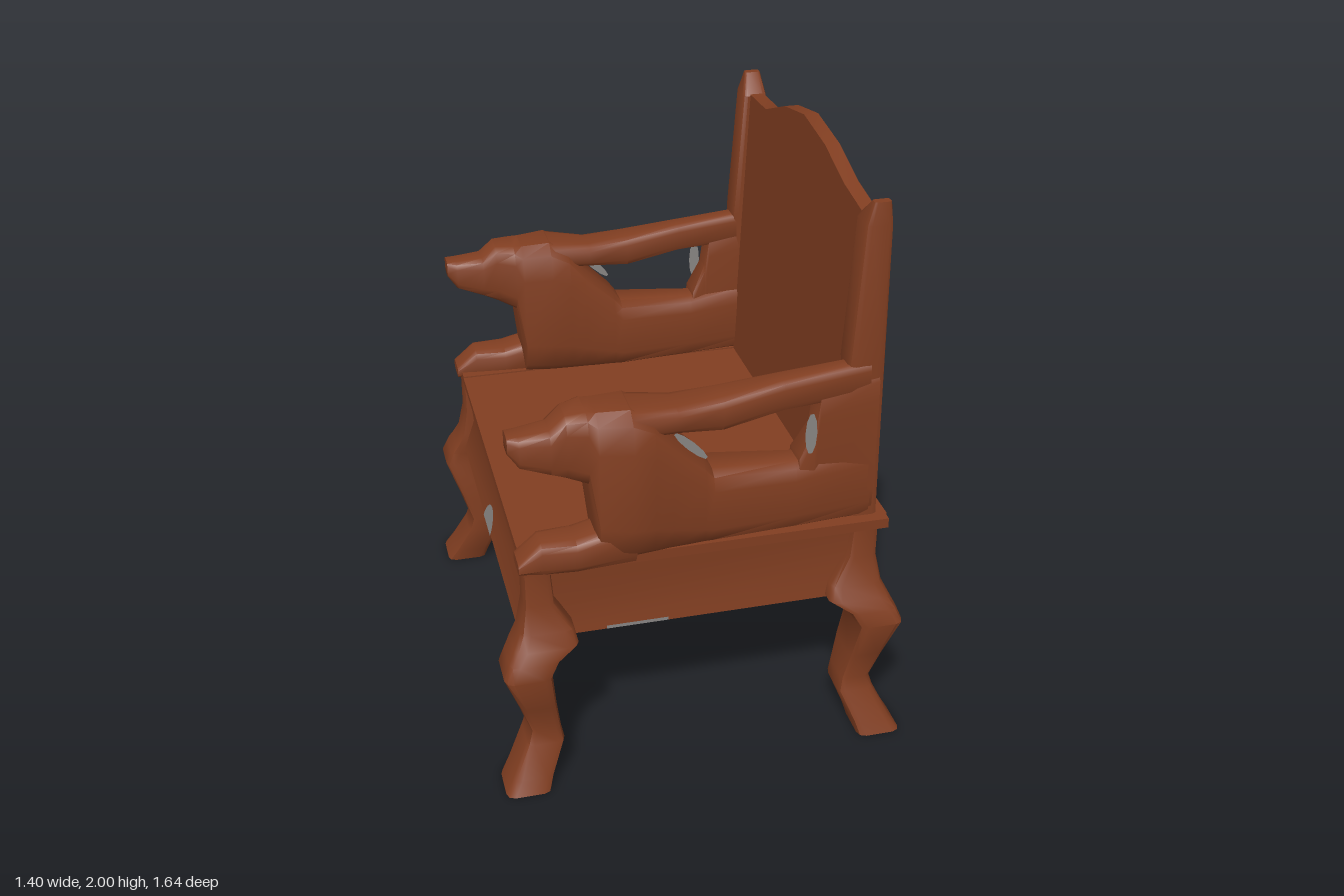
import * as THREE from 'three';
import { toCreasedNormals } from 'three/addons/utils/BufferGeometryUtils.js';

const wood = new THREE.MeshStandardMaterial({ color: 0x813e21 });
wood.name = 'reddish brown wood';
const worn = new THREE.MeshStandardMaterial({ color: 0x888583, side: THREE.DoubleSide });
worn.name = 'grey wear';

// Solid through rounded-square rings along 'x' or 'y', in ascending order.
// Rings: x -> [x, yLo, yHi, zLo, zHi]; y -> [y, zLo, zHi, xLo, xHi]
function loft(axis, rings, power = 0.5, n = 12) {
  const pos = [], index = [];
  const put = (t, a, b) => (axis === 'x' ? pos.push(t, a, b) : pos.push(b, t, a));
  const round = (v) => Math.sign(v) * Math.abs(v) ** power;
  for (const [t, a0, a1, b0, b1] of rings) {
    for (let j = 0; j < n; j++) {
      const q = ((j + 0.5) / n) * Math.PI * 2;
      put(t, (a0 + a1) / 2 + ((a1 - a0) / 2) * round(Math.cos(q)),
        (b0 + b1) / 2 + ((b1 - b0) / 2) * round(Math.sin(q)));
    }
  }
  const last = (rings.length - 1) * n;
  for (const [t, a0, a1, b0, b1] of [rings[0], rings[rings.length - 1]]) put(t, (a0 + a1) / 2, (b0 + b1) / 2);
  for (let j = 0; j < n; j++) {
    const k = (j + 1) % n;
    for (let i = 0; i < last; i += n) index.push(i + j, i + k, i + n + j, i + k, i + n + k, i + n + j);
    index.push(last + n, k, j, last + n + 1, last + j, last + k);
  }
  const g = new THREE.BufferGeometry();
  g.setAttribute('position', new THREE.Float32BufferAttribute(pos, 3));
  g.setIndex(index);
  return toCreasedNormals(g, 0.75);
}

// Mirror a low-high range to the other side
const side = (s, lo, hi) => (s > 0 ? [lo, hi] : [-hi, -lo]);
const shape = (points) => new THREE.Shape(points.map((p) => new THREE.Vector2(...p)));
// Flat oval facing +z
const oval = (rx, ry) => new THREE.CircleGeometry(1, 10).scale(rx, ry, 1);

export function createModel() {
  const model = new THREE.Group();
  const add = (name, geometry, material = wood) => {
    const mesh = new THREE.Mesh(geometry, material);
    mesh.name = name;
    model.add(mesh);
    return mesh;
  };
  const box = (name, x0, x1, y0, y1, z0, z1) =>
    add(name, new THREE.BoxGeometry(x1 - x0, y1 - y0, z1 - z0))
      .position.set((x0 + x1) / 2, (y0 + y1) / 2, (z0 + z1) / 2);

  // Seat board, leaving a slot below the back panel
  box('seat', -0.6, 0.5, 0.825, 0.85, -0.62, 0.62);
  box('seatBackLedge', 0.575, 0.625, 0.82, 0.855, -0.7, 0.7);

  // Thin apron boards, flared at the foot; the seat is open underneath
  const apron = (name, length, turn, x, z, flare, chipped) => {
    const profile = shape([[0.04, 0.54], [flare, 0.54], [0.06, 0.66], [0.075, 0.82], [0.04, 0.82]]);
    const board = new THREE.ExtrudeGeometry(profile, { depth: length, bevelEnabled: false });
    const parts = [add(name, toCreasedNormals(board.translate(0, 0, -length / 2), 0.75))];
    if (chipped) {
      const chip = new THREE.CircleGeometry(0.075, 10, 0, Math.PI).rotateY(Math.PI / 2);
      chip.rotateZ(Math.atan((flare - 0.06) / 0.12)).translate(flare + 0.003, 0.541, 0.03);
      parts.push(add(name + 'Wear', chip, worn));
    }
    for (const m of parts) {
      m.rotation.y = turn;
      m.position.set(x, 0, z);
    }
  };
  apron('backApron', 1.3, 0, 0.52, 0, 0.125, true);
  apron('frontApron', 1.3, Math.PI, -0.51, 0, 0.1, true);
  apron('leftApron', 1.14, -Math.PI / 2, 0, 0.61, 0.075, false);
  apron('rightApron', 1.14, Math.PI / 2, 0, -0.61, 0.075, false);
  add('sideApronWear', new THREE.PlaneGeometry(0.21, 0.012).translate(-0.22, 0.547, 0.687), worn);

  // Cabriole legs: [y, zLo, zHi, xLo, xHi]
  const leg = [
    [0, 0.645, 0.81, 0.545, 0.7], [0.05, 0.63, 0.79, 0.53, 0.67], [0.16, 0.6, 0.75, 0.485, 0.615],
    [0.21, 0.6, 0.74, 0.495, 0.6], [0.32, 0.6, 0.765, 0.51, 0.635], [0.46, 0.62, 0.8, 0.525, 0.685],
    [0.51, 0.62, 0.785, 0.495, 0.665], [0.55, 0.61, 0.765, 0.43, 0.645], [0.6, 0.61, 0.74, 0.44, 0.62],
    [0.7, 0.61, 0.72, 0.5, 0.6], [0.82, 0.61, 0.72, 0.51, 0.6],
  ];
  for (const sx of [-1, 1]) for (const sz of [-1, 1]) {
    const out = sx * sz < 0 ? 0.01 : -0.01;
    add('leg', loft('y', leg.map(([y, z0, z1, x0, x1]) =>
      [y, ...side(sz, z0 + out, z1 + out), ...side(sx, x0, x1)]), 0.35));
  }
  const knee = oval(0.03, 0.06).rotateY(Math.PI).rotateX(-Math.atan(0.25));
  add('kneeWear', knee.translate(-0.59, 0.39, -0.776), worn);

  for (const s of [-1, 1]) {
    const along = (name, rings, power) =>
      add(name, loft('x', rings.map(([x, y0, y1, z0, z1]) => [x, y0, y1, ...side(s, z0, z1)]), power));

    box('seatSideLedge', -0.6, 0.62, 0.82, 0.855, ...side(s, 0.6, 0.735));

    // Crouching animal: head, chest and back sloping into the side panel
    along('animalBody', [
      [-0.63, 1.255, 1.315, 0.64, 0.72], [-0.595, 1.205, 1.315, 0.625, 0.735], [-0.5, 1.17, 1.325, 0.605, 0.745],
      [-0.45, 1.15, 1.37, 0.59, 0.75], [-0.385, 1.12, 1.375, 0.555, 0.76], [-0.355, 0.85, 1.375, 0.55, 0.77],
      [-0.25, 0.84, 1.38, 0.54, 0.795], [-0.18, 0.84, 1.34, 0.54, 0.785], [-0.12, 0.84, 1.26, 0.545, 0.77],
      [-0.01, 0.84, 1.155, 0.55, 0.75], [0.02, 0.84, 1.115, 0.55, 0.745],
      [0.3, 0.84, 1.095, 0.58, 0.72], [0.56, 0.84, 1.12, 0.6, 0.7],
    ]);

    // Stretched front paw
    along('animalPaw', [
      [-0.615, 0.83, 0.87, 0.64, 0.745], [-0.54, 0.82, 0.935, 0.63, 0.755],
      [-0.43, 0.82, 0.935, 0.62, 0.765], [-0.24, 0.83, 0.98, 0.61, 0.77],
    ]);

    // Arm rail and the upright closing the opening
    along('armRail', [
      [-0.25, 1.27, 1.375, 0.58, 0.76], [-0.1, 1.265, 1.35, 0.58, 0.74], [0.05, 1.25, 1.365, 0.59, 0.73],
      [0.25, 1.285, 1.39, 0.605, 0.71], [0.54, 1.3, 1.42, 0.615, 0.695],
    ]);
    along('armUpright', [
      [0.31, 0.86, 1.12, 0.6, 0.71], [0.36, 0.86, 1.21, 0.61, 0.71],
      [0.375, 0.86, 1.34, 0.61, 0.705], [0.57, 0.86, 1.38, 0.61, 0.7],
    ], 0.35);

    // Worn edges at both ends of the arm opening
    add('openingWear', oval(0.02, 0.075).translate(0.342, 1.2, s * 0.712), worn);
    add('openingWear', oval(0.015, 0.075).rotateZ(0.8).translate(-0.055, 1.215, s * 0.72), worn);

    // Back post with a pointed top
    const shift = s > 0 ? 0 : 0.025;
    add('backPost', loft('y', [
      [0.84, 0.585, 0.695, 0.5, 0.595], [1.42, 0.585, 0.69, 0.465, 0.59],
      [1.88, 0.58, 0.685, 0.495, 0.585], [1.95, 0.645, 0.675, 0.52, 0.575],
    ].map(([y, z0, z1, x0, x1]) => [y, ...side(s, z0 + shift, z1 + shift), x0, x1]), 0.35));
  }

  // Leaning back panel with a crowned top
  const lean = (g) => {
    const p = g.attributes.position;
    for (let i = 0; i < p.count; i++) p.setX(i, p.getX(i) + 0.48 + (p.getY(i) - 0.86) * 0.04);
    return toCreasedNormals(g, 0.5);
  };
  const crown = shape([[-0.62, 0.85], [0.62, 0.85], [0.62, 1.885], [0.42, 1.89], [0.22, 1.965], [0.02, 2],
    [-0.2, 1.97], [-0.4, 1.91], [-0.62, 1.875]]);
  const panel = new THREE.ExtrudeGeometry(crown, { depth: 0.05, bevelEnabled: false });
  add('backPanel', lean(panel.rotateY(Math.PI / 2)));

  // Worn marks on the back panel
  const scratch = new THREE.RingGeometry(0.16, 0.19, 16, 1, 3.5, 1.5).rotateY(Math.PI / 2);
  add('panelWear', lean(scratch.translate(0.053, 1.375, 0.02)), worn);
  const dent = oval(0.02, 0.03).rotateY(Math.PI / 2);
  add('panelWear', lean(dent.translate(0.053, 1.77, 0.13)), worn);
  return model;
}
